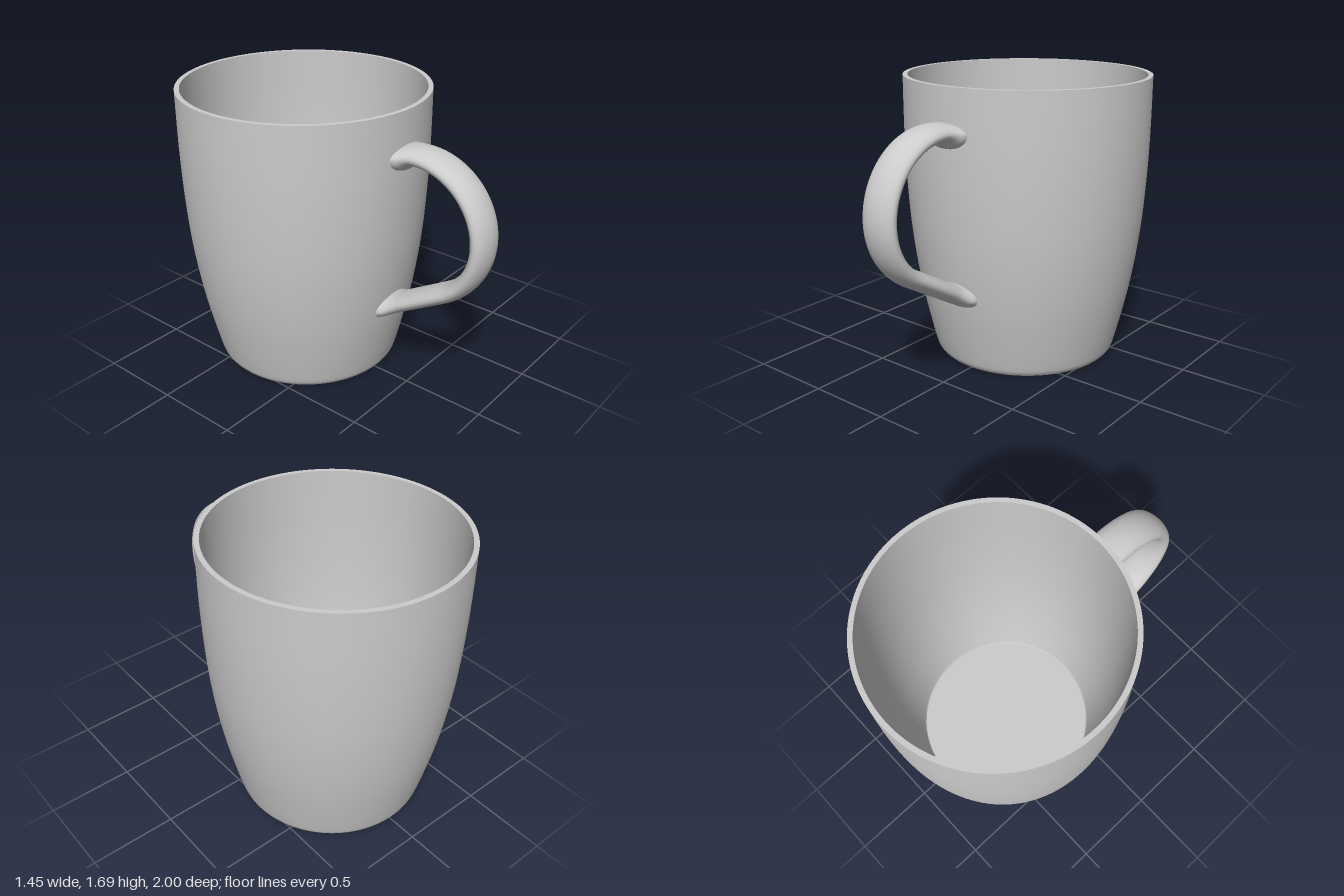
import * as THREE from 'three';
import { toCreasedNormals } from 'three/addons/utils/BufferGeometryUtils.js';

const AXIS_Z = -0.275; // centre of the cup
const WALL = 0.028;

// Outer wall profile (radius, height), smoothed by a spline
const wallProfile = new THREE.SplineCurve([
  [0.545, 0.015], [0.56, 0.05], [0.597, 0.2], [0.64, 0.4], [0.673, 0.6],
  [0.697, 0.8], [0.712, 1.0], [0.721, 1.2], [0.725, 1.4], [0.725, 1.69],
].map(([r, y]) => new THREE.Vector2(r, y))).getPoints(60);

function radiusAt(y) {
  let i = 1;
  while (i < wallProfile.length - 1 && wallProfile[i].y < y) i++;
  const a = wallProfile[i - 1], b = wallProfile[i];
  return a.x + (b.x - a.x) * (y - a.y) / (b.y - a.y);
}

// Cup: foot, outer wall, rim, inner wall and floor in one turned profile
function cupGeometry() {
  const inner = wallProfile.filter(p => p.y > 0.052)
    .map(p => new THREE.Vector2(p.x - WALL, p.y)).reverse();
  const points = [
    new THREE.Vector2(0, 0), new THREE.Vector2(0.517, 0), new THREE.Vector2(0.535, 0.004),
    ...wallProfile, ...inner,
    new THREE.Vector2(0.53, 0.05), new THREE.Vector2(0, 0.05),
  ];
  return toCreasedNormals(new THREE.LatheGeometry(points, 128), 0.4);
}

// Handle: oval section swept round an arc, then down a straight leg,
// flaring where it meets the cup and ending inside its wall
function handleGeometry() {
  const cz = 0.547, cy = 1.055, R = 0.4, sides = 48;
  const start = THREE.MathUtils.degToRad(114.7), end = -Math.PI / 3;
  const path = [];
  for (let i = 0; i <= 70; i++) {
    const phi = start + (end - start) * i / 70;
    path.push({ z: cz + R * Math.cos(phi), y: cy + R * Math.sin(phi), phi });
  }
  const last = path[path.length - 1];
  for (let i = 1; i <= 40; i++) {
    const d = 0.52 * i / 40;
    path.push({ z: last.z - d * Math.cos(Math.PI / 6), y: last.y - d * 0.5, phi: end });
  }

  const positions = [], index = [];
  path.forEach(({ z, y, phi }, i) => {
    const gap = Math.max(0, z - AXIS_Z - radiusAt(y));
    const flare = Math.max(0, 1 - gap / 0.09) ** 2;
    for (let j = 0; j < sides; j++) {
      const t = j / sides * Math.PI * 2, s = Math.sin(t);
      const px = (0.11 + 0.032 * flare) * Math.cos(t);
      const off = s * (s < 0 ? 0.053 + 0.03 * flare : 0.053);
      const py = y + off * Math.sin(phi);
      // keep the buried end within the thickness of the wall
      const wallZ = AXIS_Z + Math.sqrt((radiusAt(py) - WALL / 2) ** 2 - px * px);
      positions.push(px, py, Math.max(z + off * Math.cos(phi), wallZ));
      if (i < path.length - 1) {
        const a = i * sides + j, b = i * sides + (j + 1) % sides;
        index.push(a, b, a + sides, b, b + sides, a + sides);
      }
    }
  });
  const geometry = new THREE.BufferGeometry();
  geometry.setAttribute('position', new THREE.Float32BufferAttribute(positions, 3));
  geometry.setIndex(index);
  geometry.computeVertexNormals();
  return geometry;
}

export function createModel() {
  const group = new THREE.Group();
  group.name = 'mug';
  const material = new THREE.MeshStandardMaterial({ color: 0xcccccc });

  const cup = new THREE.Mesh(cupGeometry(), material);
  cup.name = 'cup';
  cup.position.z = AXIS_Z;

  const handle = new THREE.Mesh(handleGeometry(), material);
  handle.name = 'handle';

  group.add(cup, handle);
  return group;
}
